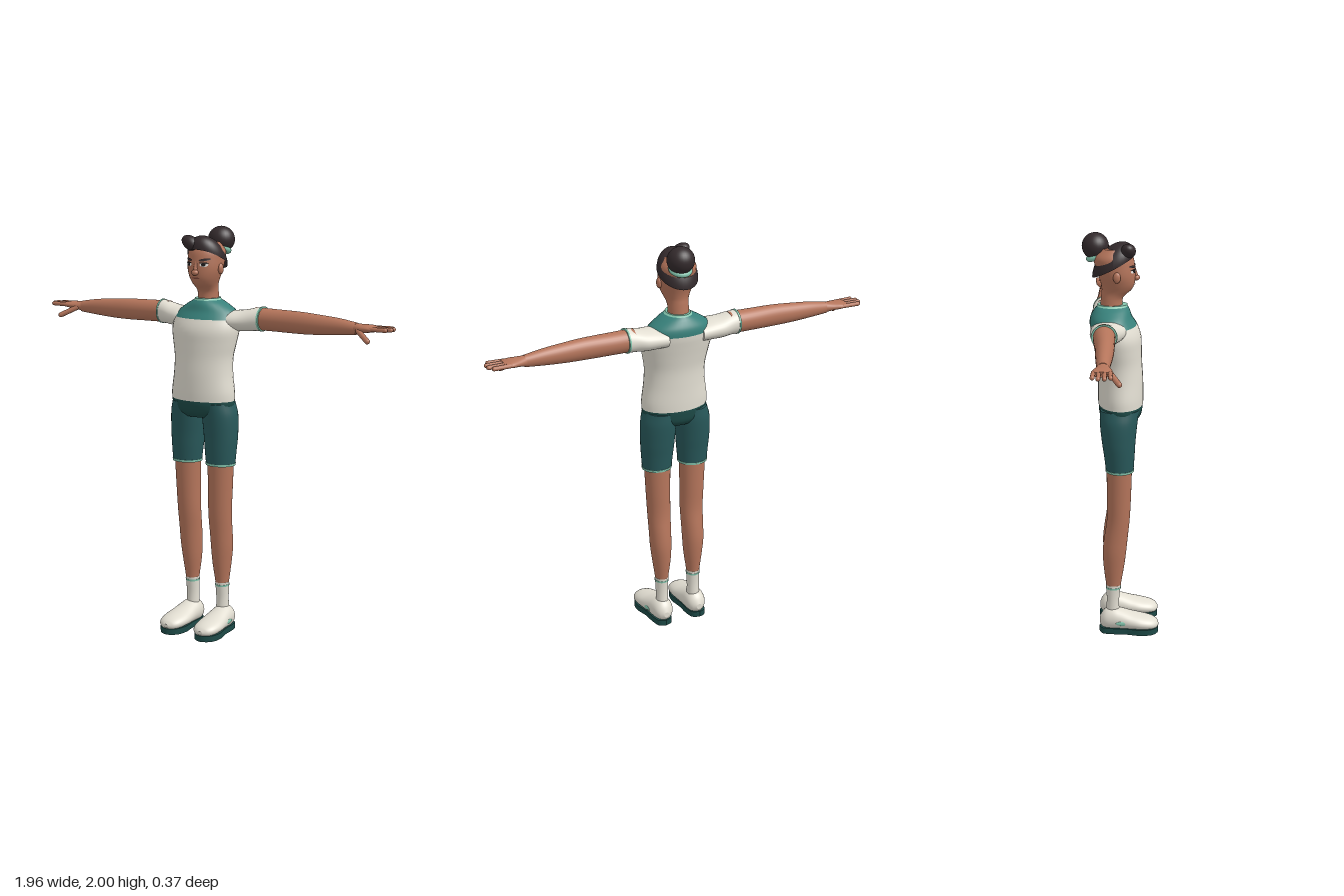
import * as THREE from 'three';

const mat = (name, color) => Object.assign(new THREE.MeshStandardMaterial({ color }), { name });
const M = {
  skin: mat('skin', 0xb5755b), shirt: mat('off white', 0xe2ded2), teal: mat('teal', 0x37807a),
  shorts: mat('dark teal', 0x28585a), sole: mat('deep teal', 0x1d4a47), aqua: mat('aqua', 0x86c8b0),
  hair: mat('hair', 0x332a2c), black: mat('black', 0x171415), white: mat('eye white', 0xf2efea),
  lip: mat('lip', 0x7c4437),
};

// Smooth interpolation of rings [t, cu, cv, ru, rv] at position t
function ringAt(rings, t) {
  const last = rings.length - 1;
  let i = 0;
  while (i < last - 1 && t > rings[i + 1][0]) i++;
  const slope = (k, c) => {
    const a = rings[Math.max(0, k - 1)], b = rings[Math.min(last, k + 1)];
    return (b[c] - a[c]) / (b[0] - a[0]);
  };
  const h = rings[i + 1][0] - rings[i][0], s = Math.min(1, Math.max(0, (t - rings[i][0]) / h));
  const s2 = s * s, s3 = s2 * s;
  return [1, 2, 3, 4].map(c => (2 * s3 - 3 * s2 + 1) * rings[i][c] + (s3 - 2 * s2 + s) * h * slope(i, c)
    + (3 * s2 - 2 * s3) * rings[i + 1][c] + (s3 - s2) * h * slope(i + 1, c));
}

// Elliptic loft along an axis; section (u, v) is (x, z) along y, (z, y) along x, (y, x) along z
function loft(rings, axis = 'y', t0 = rings[0][0], t1 = rings.at(-1)[0], grow = 0, n = 24, sides = 32) {
  const pos = [], idx = [];
  const put = (t, u, v) => pos.push(...(axis === 'y' ? [u, t, v] : axis === 'x' ? [t, v, u] : [v, u, t]));
  const ring = t => {
    const [cu, cv, ru, rv] = ringAt(rings, t);
    for (let j = 0; j < sides; j++) {
      const a = j / sides * Math.PI * 2;
      put(t, cu + (ru + grow) * Math.cos(a), cv + (rv + grow) * Math.sin(a));
    }
  };
  for (let i = 0; i <= n; i++) ring(t0 + (t1 - t0) * i / n);
  for (let i = 0; i < n; i++) for (let j = 0; j < sides; j++) {
    const a = i * sides + j, b = i * sides + (j + 1) % sides;
    idx.push(a, a + sides, b, b, a + sides, b + sides);
  }
  for (const end of [t0, t1]) {
    const base = pos.length / 3;
    ring(end);
    const [cu, cv] = ringAt(rings, end);
    put(end, cu, cv);
    for (let j = 0; j < sides; j++) {
      const a = base + j, b = base + (j + 1) % sides, c = base + sides;
      idx.push(...(end === t0 ? [a, b, c] : [b, a, c]));
    }
  }
  const g = new THREE.BufferGeometry();
  g.setAttribute('position', new THREE.Float32BufferAttribute(pos, 3));
  g.setIndex(idx);
  g.computeVertexNormals();
  return g;
}

// Mirrored copy across x = 0 with corner order restored
function mirrored(geo) {
  const g = geo.clone().scale(-1, 1, 1);
  const idx = g.index ? Array.from(g.index.array) : Array.from({ length: g.attributes.position.count }, (_, i) => i);
  for (let i = 0; i < idx.length; i += 3) [idx[i + 1], idx[i + 2]] = [idx[i + 2], idx[i + 1]];
  g.setIndex(idx);
  return g;
}

const ellipsoid = (x, y, z, rx, ry, rz, tilt = 0) =>
  new THREE.SphereGeometry(1, 28, 20).scale(rx, ry, rz).rotateZ(tilt).translate(x, y, z);

// Round-ended rod between two points
function rod(a, b, r) {
  const p = new THREE.Vector3(...a), q = new THREE.Vector3(...b), d = q.clone().sub(p);
  const turn = new THREE.Quaternion().setFromUnitVectors(new THREE.Vector3(0, 1, 0), d.clone().normalize());
  const c = p.add(q).multiplyScalar(0.5);
  return new THREE.CapsuleGeometry(r, d.length(), 6, 12).applyQuaternion(turn).translate(c.x, c.y, c.z);
}

// Thin ellipse laid on the front of a vertical loft
function patch(rings, x, y, rx, ry, tilt, lift) {
  const g = new THREE.CircleGeometry(1, 20).scale(rx, ry, 1).rotateZ(tilt).translate(x, y, 0);
  const p = g.attributes.position;
  for (let i = 0; i < p.count; i++) {
    const [cu, cv, ru, rv] = ringAt(rings, p.getY(i));
    p.setZ(i, cv + rv * Math.sqrt(Math.max(0, 1 - ((p.getX(i) - cu) / ru) ** 2)) + lift);
  }
  g.computeVertexNormals();
  return g;
}

const HEAD = [[1.63, 0, -.045, .052, .055], [1.69, 0, -.042, .05, .052], [1.712, 0, -.032, .052, .06],
  [1.73, 0, -.02, .058, .07], [1.76, 0, -.014, .071, .08], [1.8, 0, -.018, .084, .088],
  [1.85, 0, -.028, .088, .095], [1.89, 0, -.034, .086, .092], [1.93, 0, -.03, .06, .06]];
const TORSO = [[1.172, 0, 0, .168, .109], [1.21, 0, 0, .168, .11], [1.3, 0, -.001, .156, .109],
  [1.38, 0, -.005, .155, .108], [1.45, 0, -.012, .168, .113], [1.51, 0, -.02, .178, .118],
  [1.56, 0, -.034, .172, .114], [1.6, 0, -.045, .15, .1], [1.635, 0, -.042, .098, .085], [1.656, 0, -.039, .056, .07]];
const SLEEVE = [[.09, -.055, 1.553, .088, .046], [.15, -.06, 1.557, .085, .05], [.2, -.067, 1.56, .077, .052],
  [.25, -.072, 1.568, .065, .055], [.29, -.077, 1.572, .058, .058]];
const ARM = [[.25, -.077, 1.571, .053, .054], [.36, -.076, 1.57, .05, .053], [.5, -.073, 1.568, .044, .052],
  [.6, -.074, 1.566, .04, .047], [.7, -.076, 1.565, .034, .039], [.79, -.077, 1.562, .027, .028]];
const PALM = [[.78, -.077, 1.562, .026, .026], [.82, -.078, 1.565, .038, .021],
  [.86, -.081, 1.567, .047, .018], [.895, -.082, 1.567, .044, .012]];
const HIPS = [[1.09, 0, -.005, .12, .08], [1.115, 0, -.002, .152, .099], [1.15, 0, 0, .165, .106], [1.182, 0, 0, .166, .107]];
const SHORTS = [[.855, .097, -.005, .073, .067], [.93, .096, -.007, .08, .074], [1.0, .095, -.01, .085, .081],
  [1.1, .09, -.01, .087, .091], [1.16, .085, -.005, .076, .094]];
const LEG = [[.23, .088, -.036, .031, .034], [.26, .088, -.036, .034, .038], [.35, .088, -.034, .046, .051],
  [.43, .09, -.031, .053, .058], [.5, .09, -.024, .055, .058], [.6, .09, -.012, .058, .056],
  [.72, .093, -.009, .061, .059], [.88, .096, -.007, .066, .062]];
const SOCK = [[.09, .088, -.04, .032, .034], [.17, .088, -.039, .031, .031], [.25, .088, -.036, .034, .037]];
const SHOE = [[-.105, .06, .092, .014, .014], [-.095, .063, .092, .034, .032], [-.075, .068, .092, .052, .047],
  [-.04, .071, .093, .06, .055], [0, .068, .095, .054, .059], [.05, .061, .097, .045, .065],
  [.1, .055, .099, .038, .068], [.15, .049, .1, .031, .058], [.178, .045, .1, .021, .038], [.188, .044, .1, .009, .015]];

export function createModel() {
  const model = new THREE.Group();
  model.name = 'athlete';
  const add = (name, geo, m) => {
    const mesh = new THREE.Mesh(geo, m);
    mesh.name = name;
    model.add(mesh);
  };
  const pair = (name, geo, m) => {
    add('left ' + name, geo, m);
    add('right ' + name, mirrored(geo), m);
  };

  // Shirt
  add('shirt body', loft(TORSO, 'y', 1.172, 1.566), M.shirt);
  add('shirt yoke', loft(TORSO, 'y', 1.566, 1.656), M.teal);
  add('collar trim', loft(TORSO, 'y', 1.652, 1.661, .002, 2), M.aqua);
  pair('sleeve', loft(SLEEVE, 'x'), M.shirt);
  pair('sleeve trim', loft(SLEEVE, 'x', .283, .292, .002, 2), M.aqua);

  // Arms and hands
  pair('arm', loft(ARM, 'x'), M.skin);
  pair('palm', loft(PALM, 'x'), M.skin);
  [[-.118, -.122, .95], [-.095, -.097, .967], [-.07, -.07, .968], [-.047, -.044, .952]].forEach(([z0, z1, tip], i) =>
    pair('finger ' + (i + 1), rod([.87, 1.568, z0], [tip, 1.569, z1], .0105), M.skin));
  pair('thumb', rod([.81, 1.556, -.052], [.88, 1.518, -.008], .013), M.skin);

  // Shorts, legs and socks
  add('waistband', loft(HIPS), M.sole);
  pair('shorts leg', loft(SHORTS), M.shorts);
  pair('shorts trim', loft(SHORTS, 'y', .853, .864, .002, 2), M.aqua);
  pair('leg', loft(LEG), M.skin);
  pair('sock', loft(SOCK), M.shirt);
  pair('sock stripe', loft(SOCK, 'y', .229, .238, .0015, 2), M.aqua);

  // Shoes
  pair('shoe', loft(SHOE, 'z', -.105, .188, 0, 36), M.shirt);
  const outline = new THREE.Shape();
  outline.moveTo(.095, -.106);
  outline.splineThru([[.13, -.09], [.142, -.04], [.148, .03], [.163, .1], [.15, .16], [.1, .188],
    [.052, .16], [.037, .1], [.046, .03], [.048, -.04], [.06, -.09], [.095, -.106]].map(p => new THREE.Vector2(...p)));
  const sole = new THREE.ExtrudeGeometry(outline, { depth: .03, bevelEnabled: false, curveSegments: 48 });
  pair('sole', sole.rotateX(Math.PI / 2).translate(0, .03, 0), M.sole);
  pair('shoe side accent', ellipsoid(.153, .062, .01, .0045, .011, .036), M.aqua);
  for (const z of [.035, .06, .085]) for (const dx of [-.018, .018])
    pair('eyelet', ellipsoid(.098 + dx, .166 - z * .58 - .042, z, .004, .003, .004), M.black);

  // Head and face
  add('head and neck', loft(HEAD, 'y', 1.63, 1.93, 0, 36), M.skin);
  pair('ear', ellipsoid(.087, 1.805, -.018, .012, .026, .018), M.skin);
  add('nose bridge', rod([0, 1.835, .06], [0, 1.795, .073], .01), M.skin);
  add('nose tip', ellipsoid(0, 1.789, .075, .018, .014, .016), M.skin);
  pair('eye', patch(HEAD, .041, 1.826, .018, .009, 0, .003), M.white);
  pair('pupil', patch(HEAD, .04, 1.827, .009, .009, 0, .005), M.black);
  pair('eyelid line', patch(HEAD, .042, 1.835, .021, .0035, -.05, .006), M.black);
  pair('eyebrow', patch(HEAD, .043, 1.85, .025, .006, .14, .005), M.hair);
  add('mouth', patch(HEAD, 0, 1.762, .022, .004, 0, .003), M.lip);

  // Hair: a dome with a hairline sloping down to the back
  const dome = new THREE.SphereGeometry(1, 36, 18, 0, Math.PI * 2, 0, Math.PI / 2).scale(.096, .103, .1);
  const p = dome.attributes.position;
  for (let i = 0; i < p.count; i++) p.setY(i, p.getY(i) + .52 * p.getZ(i));
  dome.computeVertexNormals();
  M.hair.side = THREE.DoubleSide;
  add('hair cap', dome.translate(0, 1.845, -.035), M.hair);
  add('front curl', ellipsoid(-.048, 1.924, .035, .052, .033, .036, -.5), M.hair);
  add('hair bun', ellipsoid(.025, 1.936, -.12, .066, .064, .064), M.hair);
  add('hair tie', new THREE.TorusGeometry(.043, .014, 12, 32).rotateX(Math.PI / 2 - .35).translate(.022, 1.89, -.11), M.aqua);
  return model;
}
